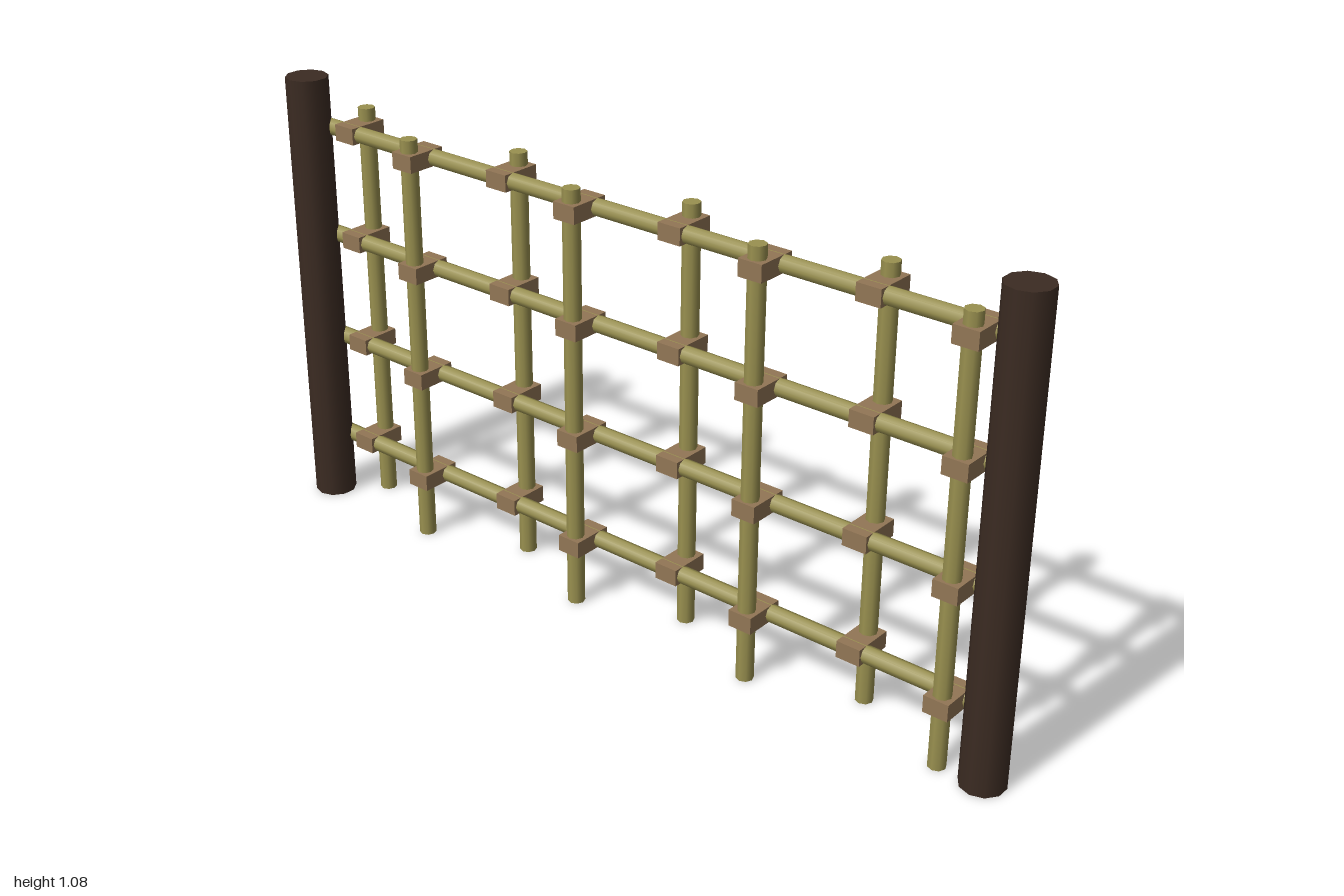
import * as THREE from 'three';

const RAIL_Z = -0.007;
const ROD_OFFSET = 0.049;
const RAIL_HEIGHTS = [0.15, 0.417, 0.683, 0.95];

export function createModel() {
  const group = new THREE.Group();
  const darkWood = new THREE.MeshStandardMaterial({ color: 0x3b2b22 });
  darkWood.name = 'darkWood';
  const bamboo = new THREE.MeshStandardMaterial({ color: 0x9a9150 });
  bamboo.name = 'bamboo';
  const rope = new THREE.MeshStandardMaterial({ color: 0x927655 });
  rope.name = 'rope';

  function add(name, geometry, material, x, y, z) {
    const mesh = new THREE.Mesh(geometry, material);
    mesh.name = name;
    mesh.position.set(x, y, z);
    group.add(mesh);
    return mesh;
  }

  // End posts
  const postGeometry = new THREE.CylinderGeometry(0.05, 0.05, 1.075, 10);
  add('leftPost', postGeometry, darkWood, 0.95, 0.5375, 0.032);
  add('rightPost', postGeometry, darkWood, -0.95, 0.5375, 0.032);

  // Horizontal rails, sunk partly into the posts
  const railGeometry = new THREE.CylinderGeometry(0.02, 0.02, 1.9, 8);
  railGeometry.rotateZ(Math.PI / 2);
  for (const y of RAIL_HEIGHTS) add('rail', railGeometry, bamboo, 0, y, RAIL_Z);

  // Upright canes alternate behind and in front of the rails, bound at each crossing
  const caneGeometry = new THREE.CylinderGeometry(0.02, 0.02, 1, 8);
  const bindingGeometry = new THREE.BoxGeometry(0.058, 0.039, 0.098);
  for (let i = 0; i < 8; i++) {
    const x = -0.85 + (i * 1.7) / 7;
    const side = i % 2 ? 1 : -1;
    add('cane', caneGeometry, bamboo, x, 0.5, RAIL_Z + side * ROD_OFFSET);
    for (const y of RAIL_HEIGHTS) {
      add('binding', bindingGeometry, rope, x, y, RAIL_Z + side * ROD_OFFSET / 2);
    }
  }
  return group;
}
